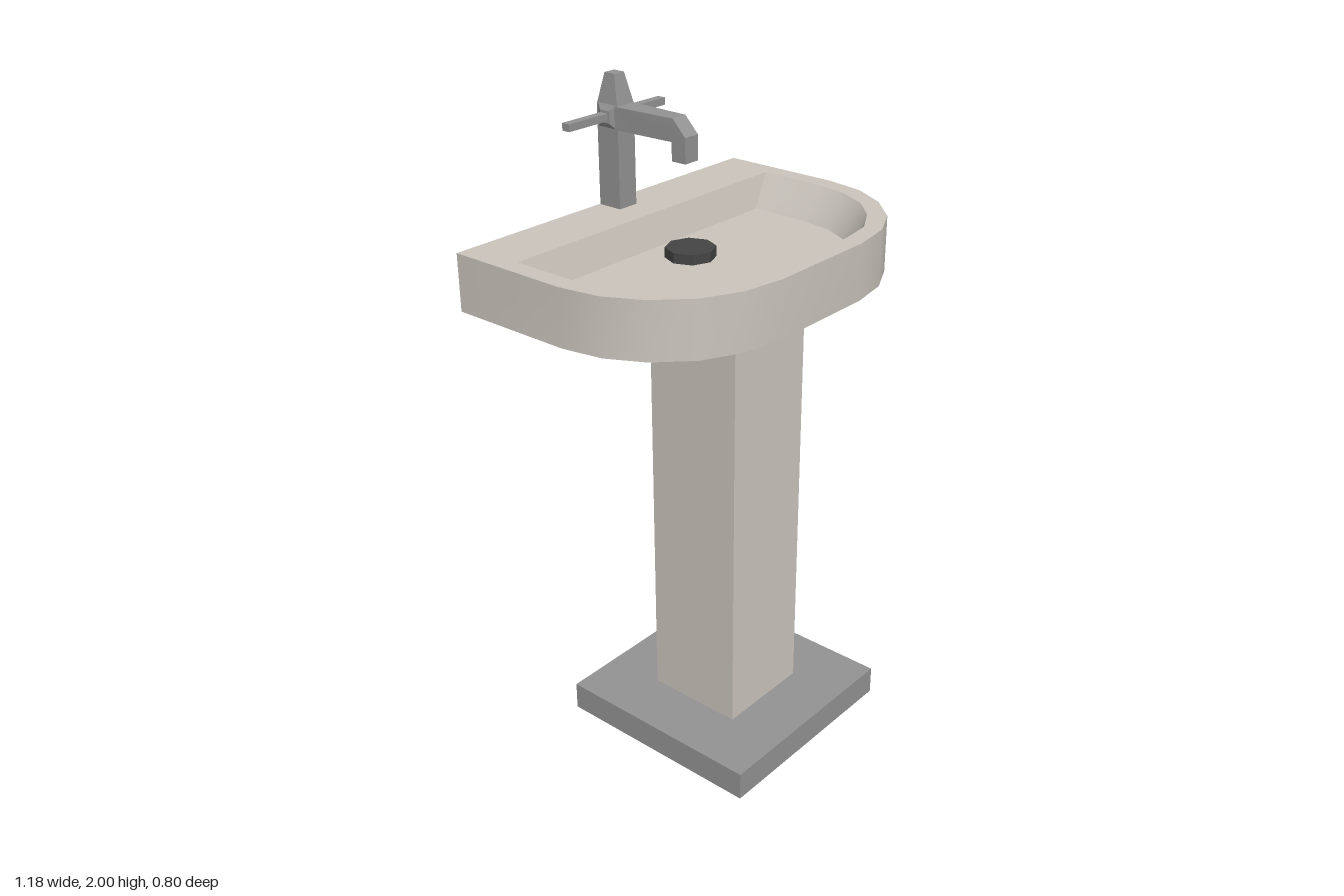
import * as THREE from 'three';
import { toCreasedNormals } from 'three/addons/utils/BufferGeometryUtils.js';

const ceramic = new THREE.MeshStandardMaterial({ name: 'ceramic', color: 0xcac4bc });
const metal = new THREE.MeshStandardMaterial({ name: 'grey metal', color: 0x929292 });
const dark = new THREE.MeshStandardMaterial({ name: 'dark drain', color: 0x444444 });

// Skin through rings of [x, y, z] points, closed by a cap on the last ring
function loft(rings, crease) {
  const n = rings[0].length;
  const index = [];
  for (let r = 0; r < rings.length - 1; r++) {
    for (let i = 0; i < n; i++) {
      const j = (i + 1) % n;
      const a = r * n + i, a2 = r * n + j, b = a + n, b2 = a2 + n;
      index.push(a, b, a2, a2, b, b2);
    }
  }
  const top = (rings.length - 1) * n;
  for (let i = 1; i < n - 1; i++) index.push(top, top + i + 1, top + i);
  const g = new THREE.BufferGeometry();
  g.setAttribute('position', new THREE.Float32BufferAttribute(rings.flat(2), 3));
  g.setIndex(index);
  return toCreasedNormals(g, crease);
}

// Mirror half an outline of [x, z] points, from the back round to the front
const mirrored = (half) => [...half, ...half.map(([x, z]) => [-x, z]).reverse()];
const atHeight = (outline, y) => outline.map(([x, z]) => [x, y, z]);
const rect = (w, y, z0, z1) => atHeight(mirrored([[w, z0], [w, z1]]), y);

export function createModel() {
  const model = new THREE.Group();
  const add = (name, geometry, material, parent = model) => {
    const mesh = new THREE.Mesh(geometry, material);
    mesh.name = name;
    parent.add(mesh);
    return mesh;
  };
  const box = (name, w, h, d, x, y, z, material, parent) =>
    add(name, new THREE.BoxGeometry(w, h, d), material, parent).position.set(x, y, z);

  // Floor plate and square pedestal
  box('basePlate', 0.685, 0.09, 0.685, 0, 0.045, 0.06, metal);
  box('pedestal', 0.315, 1.27, 0.315, 0, 0.72, 0.0625, ceramic);

  // Basin: tapered underside, upright side, flat rim and sunken bowl
  const outer = mirrored([[0.59, -0.4], [0.59, -0.008], [0.568, 0.115], [0.511, 0.222],
    [0.42, 0.314], [0.309, 0.37], [0.18, 0.392]]);
  const rim = mirrored([[0.533, -0.222], [0.533, -0.014], [0.514, 0.093], [0.467, 0.188],
    [0.391, 0.263], [0.297, 0.317], [0.189, 0.333]]);
  const bowl = mirrored([[0.454, -0.197], [0.454, -0.008], [0.438, 0.093], [0.397, 0.175],
    [0.337, 0.241], [0.25, 0.285], [0.155, 0.298]]);
  const neck = outer.map(([x, z]) => [
    THREE.MathUtils.clamp(x, -0.157, 0.157), THREE.MathUtils.clamp(z, -0.095, 0.22)]);
  const taper = outer.map(([x, z]) => [x, Math.max(z, -0.27)]);
  add('basin', loft([
    atHeight(neck, 1.35), atHeight(taper, 1.44), atHeight(outer, 1.44),
    atHeight(outer, 1.61), atHeight(rim, 1.61), atHeight(bowl, 1.515),
  ], 0.6), ceramic);

  // Drain
  const drain = add('drain', toCreasedNormals(new THREE.CylinderGeometry(0.075, 0.075, 0.035, 8), 0.3), dark);
  drain.position.set(-0.007, 1.528, -0.07);

  // Tap
  const tap = new THREE.Group();
  tap.name = 'tap';
  model.add(tap);
  add('column', loft([
    rect(0.035, 1.6, -0.398, -0.318), rect(0.035, 1.91, -0.398, -0.318),
    rect(0.02, 2, -0.378, -0.34),
  ], 0.1), metal, tap);

  // Chamfered bosses where the handle passes through the column
  for (const side of [1, -1]) {
    const boss = add('handleBoss', loft([
      rect(0.035, 0, -0.035, 0.035), rect(0.018, 0.012, -0.018, 0.018),
    ], 0.1), metal, tap);
    boss.rotation.z = -side * Math.PI / 2;
    boss.position.set(side * 0.034, 1.88, -0.358);
  }
  box('handle', 0.4, 0.022, 0.027, 0, 1.88, -0.36, metal, tap);

  // Spout: side profile of [z, y], extruded across and narrowed to the front
  const profile = [[-0.33, 1.845], [-0.12, 1.845], [-0.12, 1.79], [-0.07, 1.79],
    [-0.07, 1.865], [-0.115, 1.912], [-0.33, 1.912]];
  const spout = new THREE.ExtrudeGeometry(
    new THREE.Shape(profile.map(([z, y]) => new THREE.Vector2(-z, y))),
    { depth: 2, bevelEnabled: false });
  spout.translate(0, 0, -1).rotateY(Math.PI / 2);
  const p = spout.attributes.position;
  for (let i = 0; i < p.count; i++) {
    const t = THREE.MathUtils.clamp((p.getZ(i) + 0.33) / 0.21, 0, 1);
    p.setX(i, p.getX(i) * THREE.MathUtils.lerp(0.037, 0.027, t));
  }
  add('spout', toCreasedNormals(spout, 0.3), metal, tap);

  return model;
}
